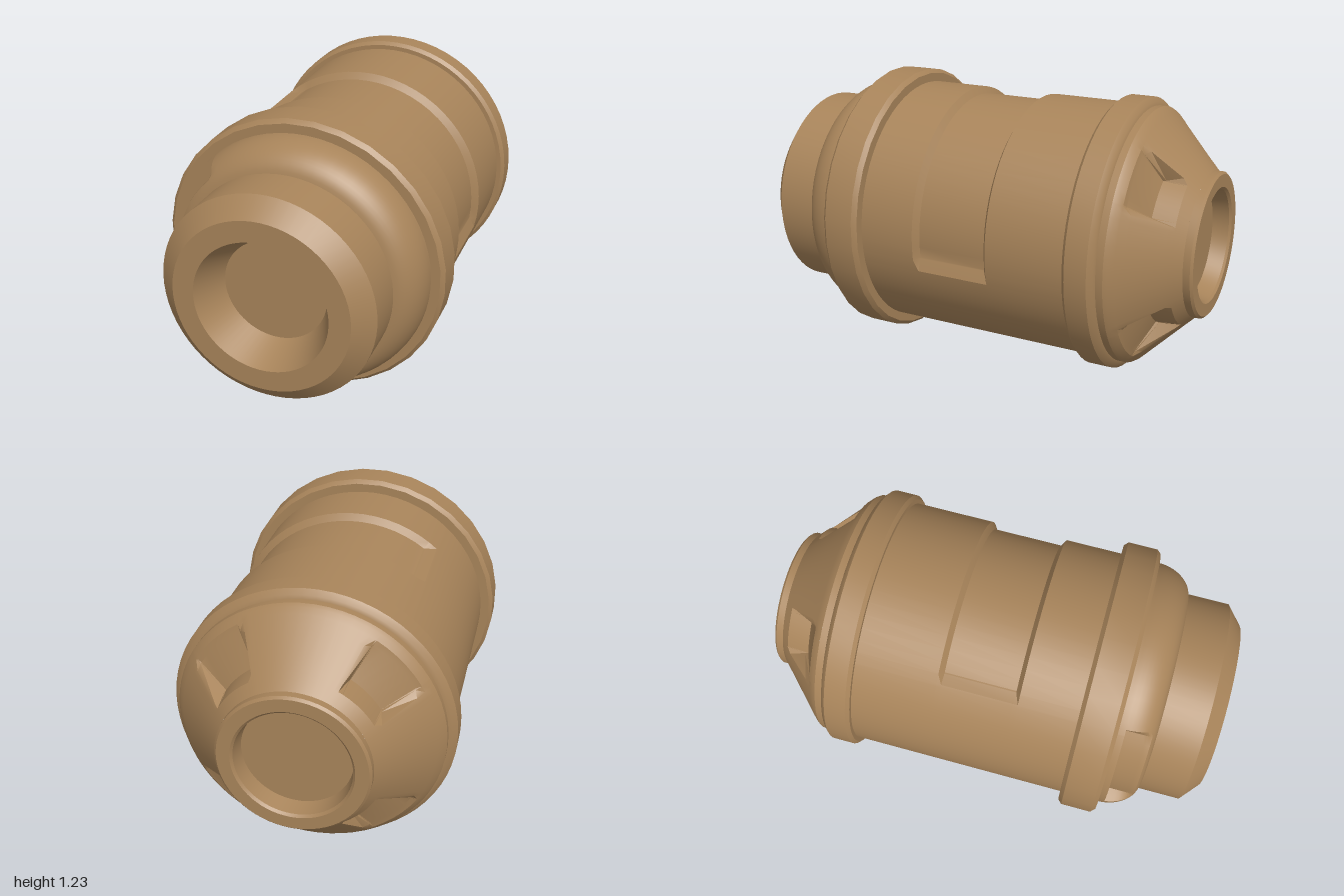
import * as THREE from 'three';
import { toCreasedNormals } from 'three/addons/utils/BufferGeometryUtils.js';

const AXIS_Y = 0.617; // height of the long axis
const material = new THREE.MeshStandardMaterial({ color: 0xa8845a });
material.name = 'tan casing';

// Amount of cut (0..1) at an angle; each cut is [start, full, fullEnd, end] in degrees
function cutAmount(angle, cuts) {
  let w = 0;
  for (const [a, b, c, d] of cuts) {
    for (const t of [angle - 360, angle, angle + 360]) {
      if (t <= a || t >= d) continue;
      w = Math.max(w, t < b ? (t - a) / (b - a) : t > c ? (d - t) / (d - c) : 1);
    }
  }
  return w;
}

// Turns a profile of [radius, z] about the long axis, front to back.
// Inside the cuts it blends towards cutProfile, which has the same point count.
function turned(name, profile, cutProfile = profile, cuts = [], sides = 64) {
  const angles = [];
  for (let i = 0; i < sides; i++) angles.push((i + 0.5) * 360 / sides);
  for (const cut of cuts) angles.push(...cut.map(a => (a + 360) % 360));
  const sorted = [...new Set(angles)].sort((a, b) => a - b);
  const n = sorted.length;
  const positions = [];
  const index = [];
  profile.forEach(([r0, z0], i) => {
    const [r1, z1] = cutProfile[i];
    for (const angle of sorted) {
      const w = cutAmount(angle, cuts);
      const r = r0 + (r1 - r0) * w;
      const a = THREE.MathUtils.degToRad(angle);
      positions.push(r * Math.cos(a), AXIS_Y + r * Math.sin(a), z0 + (z1 - z0) * w);
    }
  });
  for (let i = 0; i < profile.length - 1; i++) {
    for (let j = 0; j < n; j++) {
      const k = (j + 1) % n;
      const a = i * n + j, b = a + n, c = i * n + k, d = c + n;
      index.push(a, b, c, c, b, d);
    }
  }
  const geometry = new THREE.BufferGeometry();
  geometry.setAttribute('position', new THREE.Float32BufferAttribute(positions, 3));
  geometry.setIndex(index);
  const mesh = new THREE.Mesh(toCreasedNormals(geometry, 0.5), material);
  mesh.name = name;
  return mesh;
}

export function createModel() {
  const model = new THREE.Group();
  model.name = 'canister';

  // Front neck with a tapered recess
  model.add(turned('frontNeck', [
    [0, 0.85], [0.22, 0.85], [0.285, 1], [0.375, 1], [0.455, 0.93], [0.455, 0.74],
  ]));

  // Rounded shoulder with a stepped notch on its upper right side
  const stepZ = 0.61, stepR = 0.5;
  const shoulder = [[0.45, 0.745]];
  const notched = [[0.45, 0.745]];
  const shoulderPoint = t => [0.44 + 0.12 * Math.cos(t), 0.58 + 0.165 * Math.sin(t)];
  const stepT = Math.asin((stepZ - 0.58) / 0.165);
  for (let i = 0; i <= 10; i++) {
    const p = shoulderPoint(1.45 + (stepT - 1.45) * i / 10);
    shoulder.push(p);
    notched.push([Math.min(p[0], stepR), p[1]]);
  }
  for (const t of [stepT, stepT / 2, 0]) {
    shoulder.push(shoulderPoint(t));
    notched.push(shoulderPoint(t));
  }
  model.add(turned('shoulder', shoulder, notched, [[129.5, 132.5, 181, 184]]));

  // Thick front ring
  model.add(turned('frontRing', [
    [0.54, 0.58], [0.6, 0.58], [0.617, 0.562], [0.617, 0.428], [0.6, 0.41], [0.54, 0.41],
  ], undefined, [], 32));

  // Barrel with a shallow panel sunk across its top
  const panelZ = [0.42, 0.155, 0.135, -0.175, -0.195, -0.56];
  model.add(turned('barrel',
    panelZ.map(z => [0.56, z]),
    panelZ.map((z, i) => [i === 2 || i === 3 ? 0.53 : 0.56, z]),
    [[-13.5, -8, 126, 131]]));

  // Slimmer rear ring
  model.add(turned('rearRing', [
    [0.55, -0.55], [0.58, -0.55], [0.595, -0.565], [0.595, -0.66],
    [0.575, -0.68], [0.56, -0.685], [0.56, -0.715],
  ]));

  // Tapered rear cap with four pockets
  const pockets = [45, 135, 225, 315].map(a => [a - 17, a - 13.5, a + 13.5, a + 17]);
  model.add(turned('rearCap',
    [[0.56, -0.715], [0.55, -0.73], [0.53, -0.75], [0.5, -0.779], [0.375, -0.901], [0.356, -0.92], [0.315, -0.96]],
    [[0.56, -0.715], [0.55, -0.73], [0.53, -0.75], [0.505, -0.757], [0.365, -0.82], [0.356, -0.92], [0.315, -0.96]],
    pockets));

  // Rear rim around a shallow opening
  model.add(turned('rearRim', [
    [0.315, -0.96], [0.315, -0.99], [0.305, -1], [0.25, -1], [0.24, -0.99], [0.228, -0.92], [0, -0.92],
  ]));

  return model;
}
